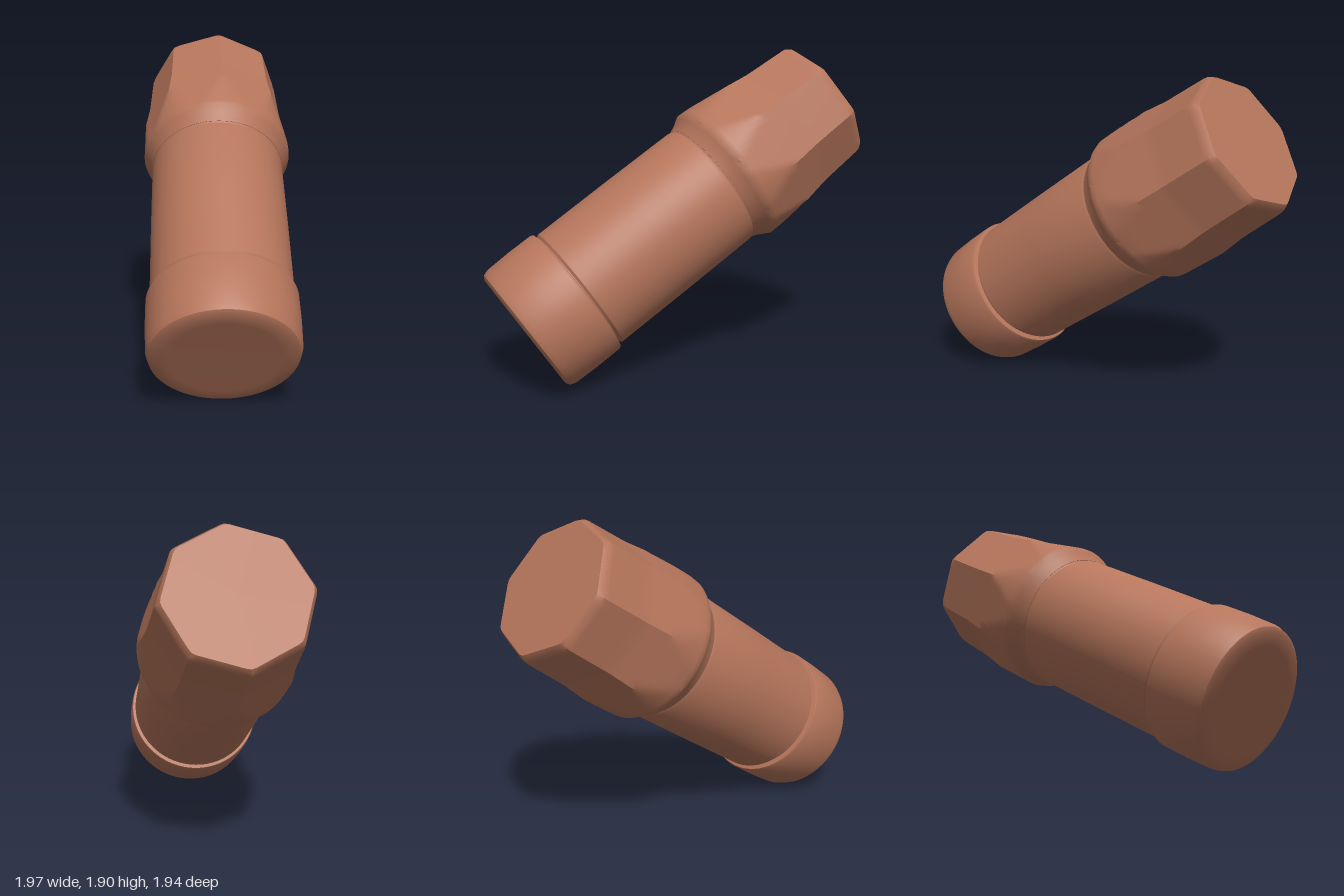
import * as THREE from 'three';
import { toCreasedNormals } from 'three/addons/utils/BufferGeometryUtils.js';

const material = new THREE.MeshStandardMaterial({ color: 0xb5755b });

// Linear interpolation through [position, value] pairs
function along(table, s) {
  for (let i = 1; i < table.length; i++) {
    const [s0, v0] = table[i - 1], [s1, v1] = table[i];
    if (s <= s1) return THREE.MathUtils.mapLinear(s, s0, s1, v0, v1);
  }
  return table[table.length - 1][1];
}

function lathe(name, profile) {
  const points = profile.map(([r, y]) => new THREE.Vector2(r, y));
  const mesh = new THREE.Mesh(toCreasedNormals(new THREE.LatheGeometry(points, 96), 0.6), material);
  mesh.name = name;
  return mesh;
}

// Round envelope and the distance of the eight flats from the axis
const ROUND = [[1.41, 0.4], [1.45, 0.415], [1.51, 0.452], [2.05, 0.45], [2.25, 0.405], [2.28, 0.385]];
const FLATS = [[1.41, 0.455], [1.58, 0.445], [1.95, 0.395], [2.25, 0.378], [2.28, 0.36]];

// Octagonal head: a cylinder whose surface is cut by eight tapering flats
function octagonalHead() {
  const s0 = 1.41, s1 = 2.28, step = Math.PI / 4;
  const rows = [1.41, 1.45, 1.48, 1.51];
  for (let i = 1; i <= 24; i++) rows.push(1.51 + (2.25 - 1.51) * i / 24);
  rows.push(s1);
  const geometry = new THREE.CylinderGeometry(1, 1, 1, 96, rows.length - 1);
  const p = geometry.attributes.position;
  for (let i = 0; i < p.count; i++) {
    const x = p.getX(i), z = p.getZ(i);
    const s = rows[Math.round((p.getY(i) + 0.5) * (rows.length - 1))];
    const angle = Math.atan2(x, z);
    const local = angle - Math.round(angle / step) * step;
    const r = Math.min(along(ROUND, s), along(FLATS, s) / Math.cos(local));
    p.setXYZ(i, x * r, s, z * r);
  }
  const mesh = new THREE.Mesh(toCreasedNormals(geometry, 0.6), material);
  mesh.name = 'octagonalHead';
  return mesh;
}

export function createModel() {
  const model = new THREE.Group();
  model.name = 'handle';

  // Parts stand on a local y axis that starts at the end cap
  const parts = new THREE.Group();
  parts.name = 'parts';
  parts.add(
    lathe('endCap', [[0, 0.005], [0.3, 0], [0.375, 0], [0.4, 0.015], [0.412, 0.05],
      [0.418, 0.2], [0.418, 0.36], [0.412, 0.375], [0.38, 0.38]]),
    lathe('shaft', [[0.385, 0.36], [0.385, 0.385], [0.397, 0.4], [0.4, 0.9], [0.4, 1.38],
      [0.394, 1.4], [0.402, 1.42], [0.4, 1.46]]),
    octagonalHead(),
  );

  // Lean the parts along the diagonal, with one flat facing forward
  const axis = new THREE.Vector3(-1.36, 1.26, -1.33).normalize();
  const forward = new THREE.Vector3(-0.31, 0.26, 0.56);
  forward.addScaledVector(axis, -forward.dot(axis)).normalize();
  const side = new THREE.Vector3().crossVectors(axis, forward);
  parts.quaternion.setFromRotationMatrix(new THREE.Matrix4().makeBasis(side, axis, forward));
  parts.position.set(0.675, 0.34, 0.66);
  model.add(parts);
  return model;
}
